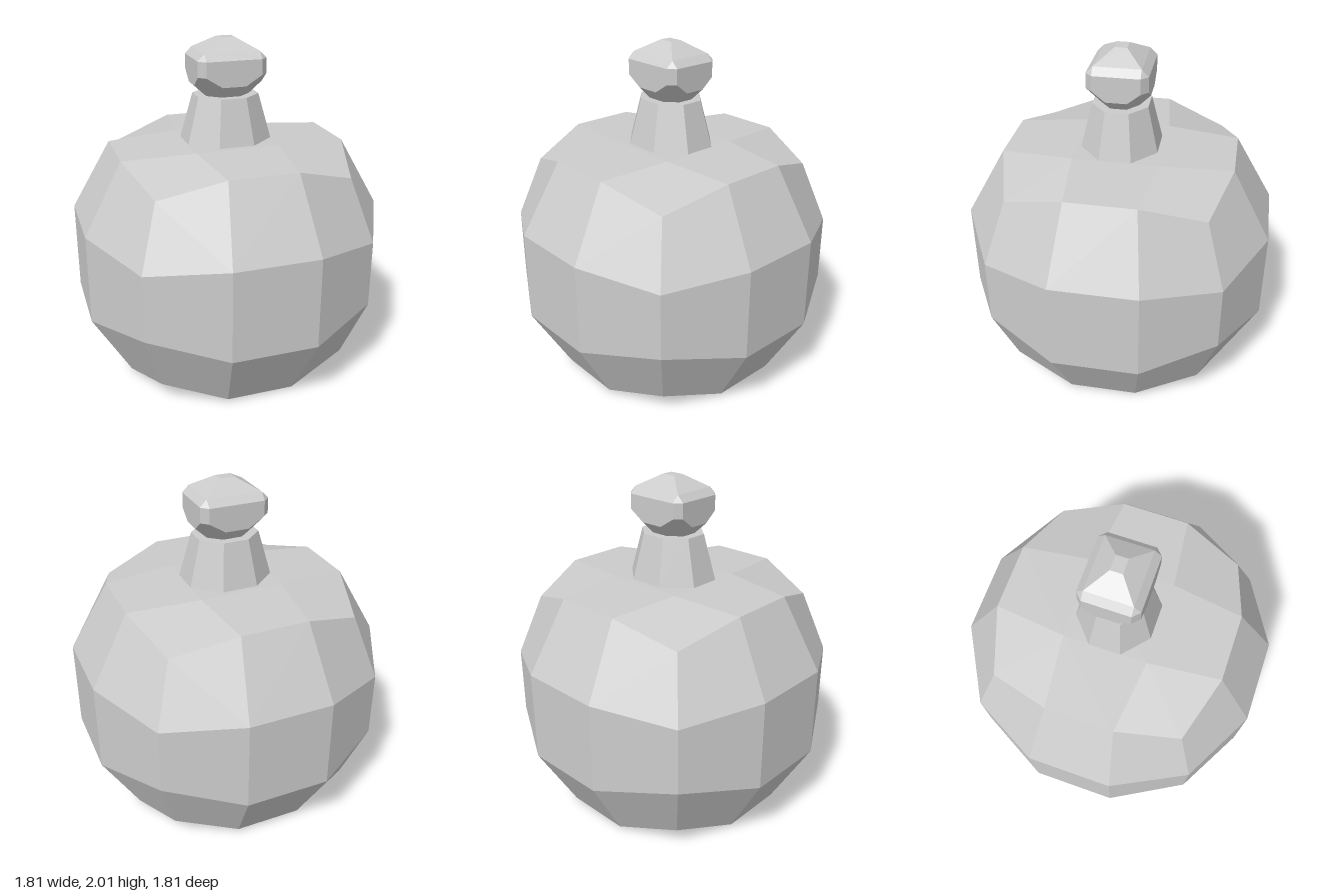
import * as THREE from 'three';
import { ConvexGeometry } from 'three/addons/geometries/ConvexGeometry.js';

const grey = (flatShading) => new THREE.MeshStandardMaterial({ color: 0xcccccc, flatShading });

// Rounded cube: each point of a 3x3x3 box grid moves by whether it lies on a face, an edge or a corner
function bodyPoint(x, y, z) {
  const isOuter = (c) => Math.abs(c) > 0.9;
  const k = [x, y, z].filter(isOuter).length;
  const outer = [0, 0.905, 0.675, 0.565][k];
  const inner = [0, 0.25, 0.2, 0][k];
  const place = (c) => Math.sign(c) * (isOuter(c) ? outer : inner);
  let py = place(y);
  if (isOuter(y)) py = Math.sign(y) * [0, 0.7, 0.682, 0.57][k]; // flattened top and bottom
  else if (k === 1) py = Math.sign(y) * 0.27;
  return new THREE.Vector3(place(x), py + 0.695, place(z));
}

function bodyGeometry() {
  const box = new THREE.BoxGeometry(2, 2, 2, 3, 3, 3);
  const p = box.attributes.position;
  const idx = box.index.array;
  const positions = [], normals = [];
  const at = (i) => bodyPoint(p.getX(i), p.getY(i), p.getZ(i));
  for (let i = 0; i < idx.length; i += 6) {
    const [a, b, c, d] = [idx[i], idx[i + 1], idx[i + 4], idx[i + 2]].map(at);
    // One normal per quad, split along its shorter diagonal
    const n = c.clone().sub(a).cross(d.clone().sub(b)).normalize();
    const tris = a.distanceTo(c) < b.distanceTo(d) ? [a, b, c, a, c, d] : [a, b, d, b, c, d];
    for (const v of tris) {
      positions.push(v.x, v.y, v.z);
      normals.push(n.x, n.y, n.z);
    }
  }
  const g = new THREE.BufferGeometry();
  g.setAttribute('position', new THREE.Float32BufferAttribute(positions, 3));
  g.setAttribute('normal', new THREE.Float32BufferAttribute(normals, 3));
  return g;
}

// Eight-sided tapering neck, slightly wider in x than in z
function neckGeometry() {
  const r = 1 / Math.cos(Math.PI / 8);
  const g = new THREE.CylinderGeometry(0.72 * r, r, 0.27, 8, 1, false, Math.PI / 8);
  g.scale(0.255, 1, 0.225);
  g.translate(0, 1.535, 0);
  return g;
}

// Faceted knob: one quarter of its corners, mirrored in x and z
function knobGeometry() {
  const quarter = [
    [0.045, 2.0, 0.035], [0.165, 1.93, 0.135],
    [0.165, 1.89, 0.175], [0.205, 1.89, 0.135],
    [0.165, 1.80, 0.175], [0.205, 1.80, 0.135],
    [0.07, 1.74, 0.175], [0.205, 1.74, 0.06],
    [0.055, 1.665, 0.105], [0.125, 1.665, 0.045],
  ];
  const points = [];
  for (const sx of [-1, 1]) for (const sz of [-1, 1])
    for (const [x, y, z] of quarter) points.push(new THREE.Vector3(sx * x, y, sz * z));
  return new ConvexGeometry(points);
}

export function createModel() {
  const group = new THREE.Group();
  const add = (name, geometry, flat) => {
    const mesh = new THREE.Mesh(geometry, grey(flat));
    mesh.name = name;
    group.add(mesh);
  };
  add('body', bodyGeometry(), false);
  add('neck', neckGeometry(), true);
  add('knob', knobGeometry(), true);
  return group;
}
